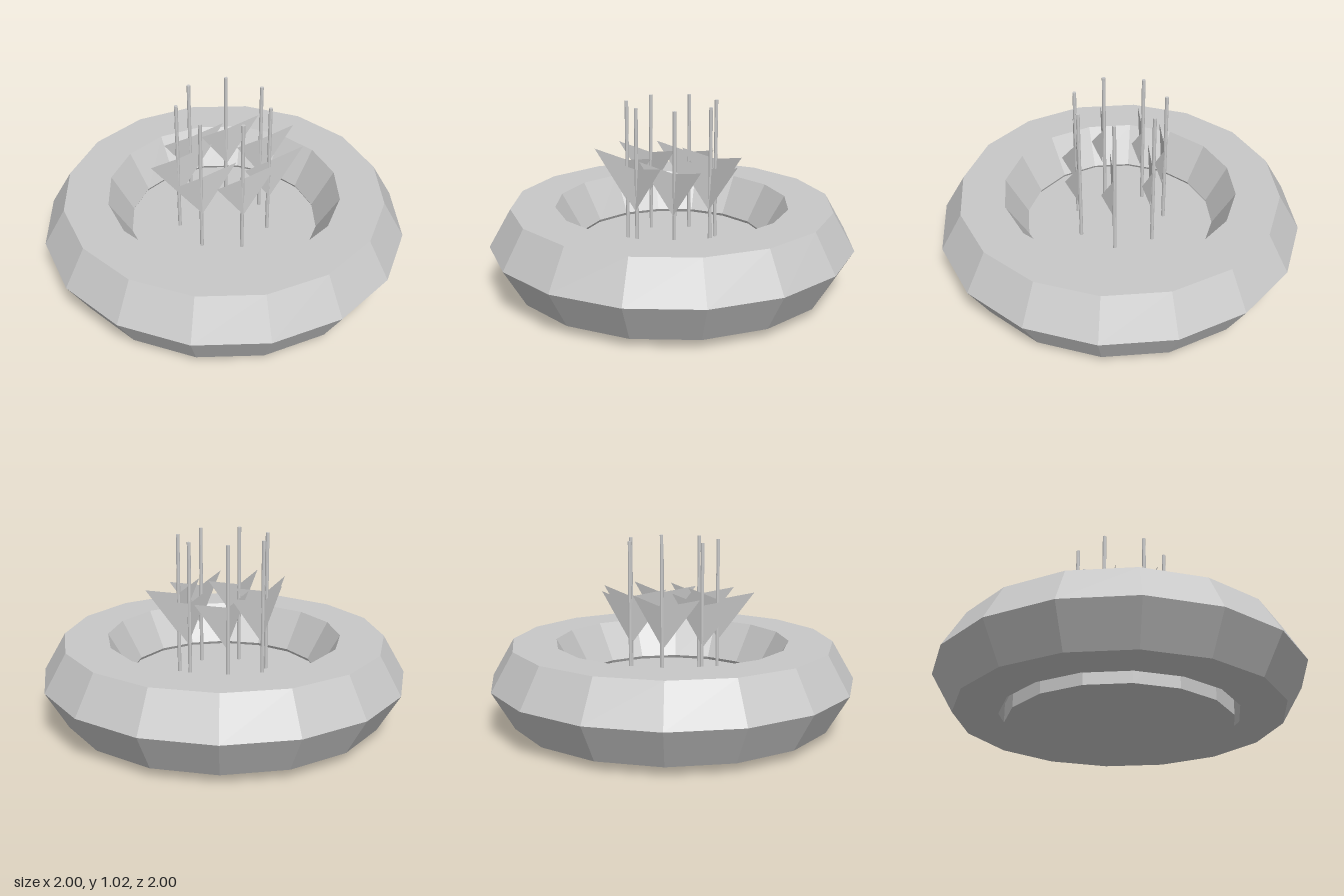
import * as THREE from 'three';

export function createModel() {
  const model = new THREE.Group();
  const stone = new THREE.MeshStandardMaterial({ color: 0xc8c8c8, flatShading: true });
  stone.name = 'paleGrey';
  const sheet = new THREE.MeshStandardMaterial({ color: 0xc8c8c8, flatShading: true, side: THREE.DoubleSide });
  sheet.name = 'paleGreySheet';

  const add = (parent, name, geometry, material, x = 0, y = 0, z = 0) => {
    const mesh = new THREE.Mesh(geometry, material);
    mesh.name = name;
    mesh.position.set(x, y, z);
    parent.add(mesh);
    return mesh;
  };

  // Basin: faceted ring around a low drum whose top is the floor
  const floorY = 0.24, topY = 1.02;
  const ring = new THREE.TorusGeometry(0.76, 0.24, 6, 16).rotateX(Math.PI / 2);
  add(model, 'basinRing', ring, stone, 0, 0.257, 0);
  const drum = new THREE.CylinderGeometry(0.608, 0.608, floorY, 16);
  add(model, 'basinFloor', drum, stone, 0, floorY / 2, 0);

  // Jet: bent sheet of two triangles meeting along the pole
  const wing = new THREE.BufferGeometry();
  wing.setAttribute('position', new THREE.Float32BufferAttribute([
    0, 0.465, 0.012, // lower tip
    0, 0.69, 0, // top of the fold
    -0.195, 0.735, 0.045, // right corner
    0.195, 0.735, 0.045, // left corner
  ], 3));
  wing.setIndex([0, 1, 2, 0, 3, 1]);
  wing.computeVertexNormals();

  // Seven jets in a circle, all facing the front
  const pole = new THREE.CylinderGeometry(0.01, 0.01, topY - floorY, 8);
  for (let i = 0; i < 7; i++) {
    const a = (i / 7) * Math.PI * 2;
    const jet = new THREE.Group();
    jet.name = 'jet' + (i + 1);
    jet.position.set(0.25 * Math.cos(a), 0, 0.25 * Math.sin(a));
    add(jet, 'jetPole', pole, stone, 0, (topY + floorY) / 2, 0);
    add(jet, 'jetSpray', wing, sheet);
    model.add(jet);
  }
  return model;
}
